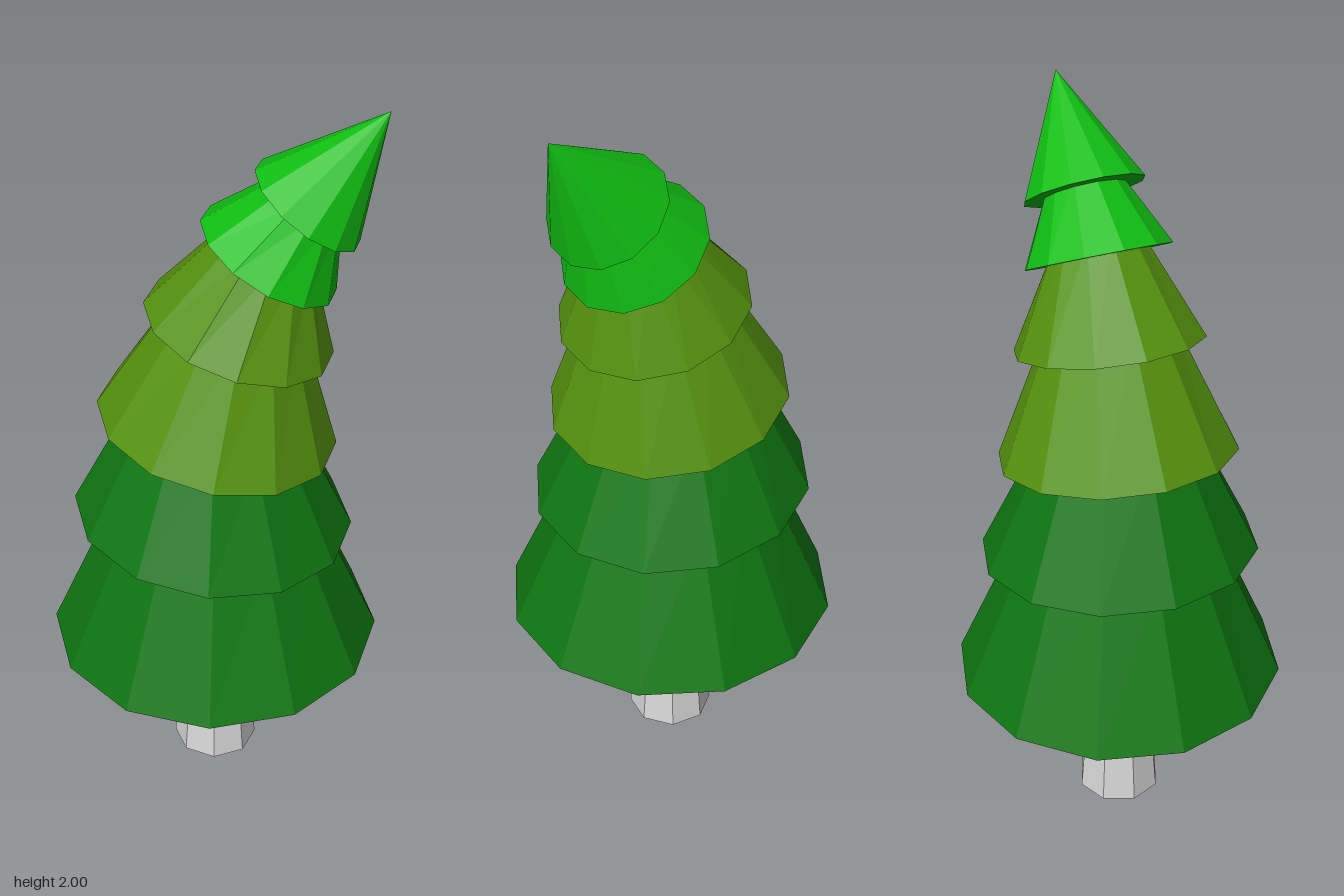
import * as THREE from 'three';

const material = (name, color, extra = {}) => {
  const m = new THREE.MeshStandardMaterial({ color, flatShading: true, ...extra });
  m.name = name;
  return m;
};

// Tapered tier between two leaning rings, each [centreX, centreY, radius, lean in degrees]
function tierGeometry(bottom, top) {
  const g = new THREE.CylinderGeometry(1, 1, 1, 12, 1);
  const p = g.attributes.position;
  for (let i = 0; i < p.count; i++) {
    const [cx, cy, r, lean] = p.getY(i) > 0 ? top : bottom;
    const a = THREE.MathUtils.degToRad(lean);
    const x = p.getX(i) * r;
    p.setXYZ(i, cx + x * Math.cos(a), cy - x * Math.sin(a), p.getZ(i) * r);
  }
  g.computeVertexNormals();
  return g;
}

export function createModel() {
  const tree = new THREE.Group();
  tree.name = 'leaningTree';

  const bark = material('pale grey bark', 0xd8d8d8, { side: THREE.DoubleSide });
  const dark = material('dark green', 0x0f7612);
  const olive = material('olive green', 0x55920f);
  const bright = material('bright green', 0x10bd12);

  // Trunk, open at both ends
  const trunk = new THREE.Mesh(new THREE.CylinderGeometry(0.08, 0.115, 0.44, 8, 1, true), bark);
  trunk.name = 'trunk';
  trunk.position.y = 0.22;
  tree.add(trunk);

  // Foliage tiers, each tucked into the one above and leaning further
  const tiers = [
    [dark, [0, 0.43, 0.445, 0], [0.006, 0.845, 0.264, 5.4]],
    [dark, [-0.005, 0.814, 0.372, 5.3], [0.004, 1.135, 0.216, 12]],
    [olive, [0.005, 1.102, 0.317, 10.5], [0.066, 1.432, 0.171, 19.6]],
    [olive, [0.06, 1.394, 0.25, 16], [0.145, 1.635, 0.12, 32.8]],
    [bright, [0.132, 1.605, 0.194, 29.3], [0.236, 1.765, 0.096, 42]],
    [bright, [0.224, 1.746, 0.16, 35.7], [0.412, 2, 0, 36]],
  ];
  tiers.forEach(([mat, bottom, top], i) => {
    const tier = new THREE.Mesh(tierGeometry(bottom, top), mat);
    tier.name = `foliageTier${i + 1}`;
    tree.add(tier);
  });

  return tree;
}
